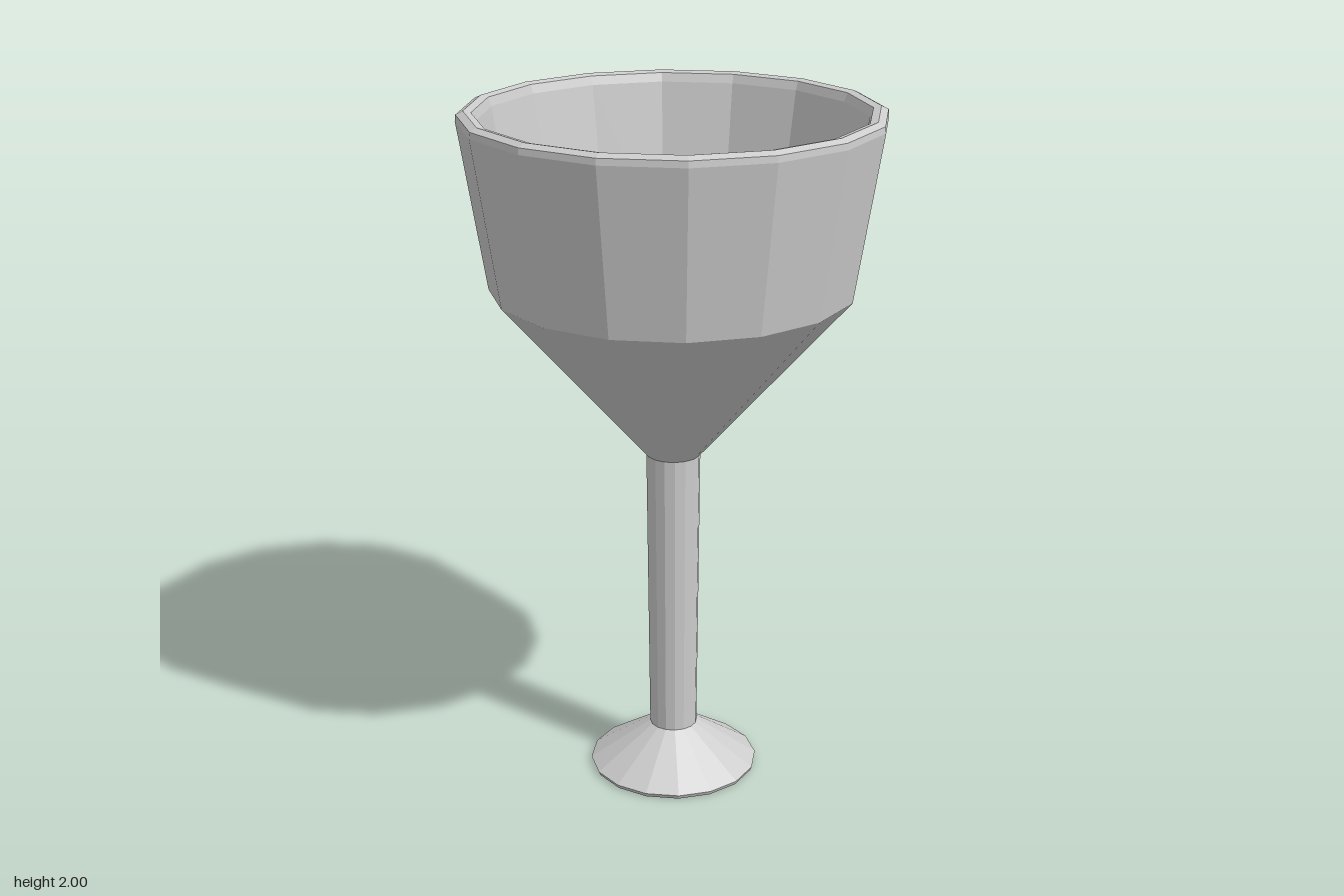
import * as THREE from 'three';

const SIDES = 16;

export function createModel() {
  const group = new THREE.Group();
  group.name = 'goblet';
  const silver = new THREE.MeshStandardMaterial({ color: 0xcccccc, flatShading: true });
  silver.name = 'silver grey';

  // Turn a profile of [radius, height] pairs into a faceted part
  const turn = (name, profile) => {
    const points = profile.map(([r, y]) => new THREE.Vector2(r, y));
    const mesh = new THREE.Mesh(new THREE.LatheGeometry(points, SIDES), silver);
    mesh.name = name;
    group.add(mesh);
  };

  // Foot: flat underside, thin edge and sloping top
  turn('foot', [[0, 0], [0.245, 0], [0.25, 0.012], [0.07, 0.132]]);

  // Stem: widens slightly towards the bowl
  turn('stem', [[0.07, 0.13], [0.078, 1.0]]);

  // Outside of the bowl: cone below, steep wall above
  turn('bowlOutside', [[0.078, 1.0], [0.515, 1.5], [0.59, 1.972]]);

  // Rim: bevelled lip
  turn('rim', [[0.59, 1.972], [0.588, 1.99], [0.568, 2.0], [0.546, 1.995], [0.537, 1.97]]);

  // Inside of the bowl: wall, then cone down to a point
  turn('bowlInside', [[0.537, 1.97], [0.46, 1.51], [0, 1.02]]);

  return group;
}
